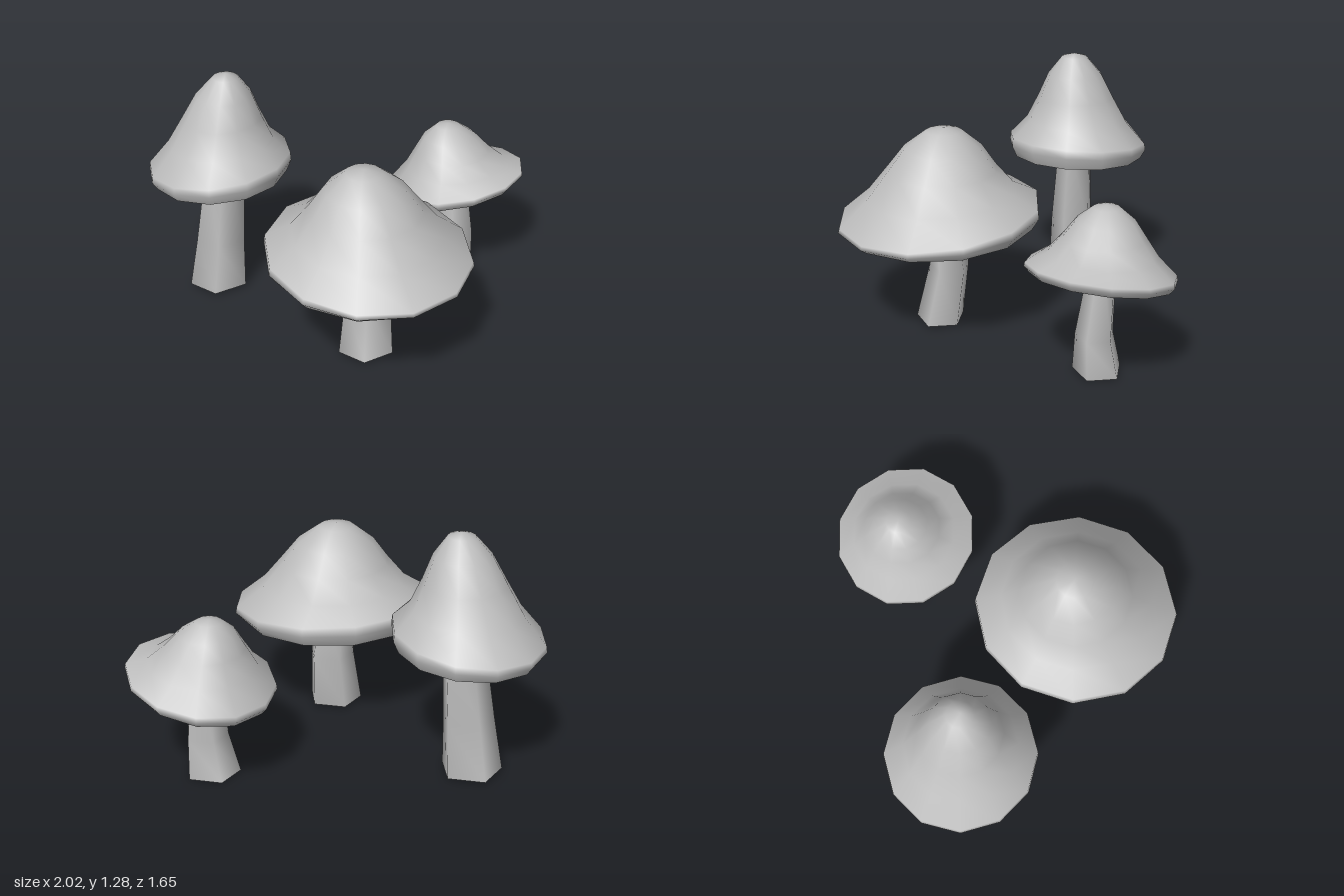
import * as THREE from 'three';
import { mergeVertices } from 'three/addons/utils/BufferGeometryUtils.js';

// Lofts rings listed along the surface (top to bottom, then inwards).
// ring = { c: centre, r: radius, sx, sz: slopes }; radius 0 closes to a point
function loft(rings, sides, phase, depth = 1) {
  const pos = [], index = [];
  for (const { c, r, sx = 0, sz = 0 } of rings) {
    for (let i = 0; i < sides; i++) {
      const a = phase + (i / sides) * Math.PI * 2;
      const dx = Math.cos(a) * r, dz = Math.sin(a) * r * depth;
      pos.push(c.x + dx, c.y + sx * dx + sz * dz, c.z + dz);
    }
  }
  for (let k = 0; k < rings.length - 1; k++) {
    for (let i = 0; i < sides; i++) {
      const j = (i + 1) % sides, t = k * sides, b = t + sides;
      if (rings[k].r > 0) index.push(t + i, t + j, b + i);
      if (rings[k + 1].r > 0) index.push(t + j, b + j, b + i);
    }
  }
  let geo = new THREE.BufferGeometry();
  geo.setAttribute('position', new THREE.Float32BufferAttribute(pos, 3));
  geo.setIndex(index);
  geo = mergeVertices(geo);
  geo.computeVertexNormals();
  return geo;
}

const V = (x, y, z) => new THREE.Vector3(x, y, z);

// Shared bell outline: fraction of the drop from apex to rim, fraction of the rim radius
const bell = [[0, 0], [0.04, 0.18], [0.24, 0.39], [0.5, 0.55], [0.78, 0.74], [1, 1]];
// Shared underside outline: fraction of the rim radius, fraction of the hollow's height
const hollowOutline = [[0.85, 0.1], [0.68, 0.36], [0.43, 0.8], [0, 1]];

function capRings({ apex, rim, radius, slope, lip, lipTilt }) {
  const [sx, sz] = slope;
  const rings = bell.map(([t, f]) => ({
    c: apex.clone().lerp(rim, t), r: radius * f, sx: sx * t ** 3, sz: sz * t ** 3,
  }));
  // Rolled lip: a slight bulge, then a turn inwards
  for (const [down, f] of [[0.43, 1.01], [1, 0.94]]) {
    const tilt = 1 + (lipTilt - 1) * down;
    rings.push({ c: V(rim.x, rim.y - lip * down, rim.z), r: radius * f, sx: sx * tilt, sz: sz * tilt });
  }
  return rings;
}

function undersideRings({ radius, hollow }, edge) {
  const inner = hollowOutline.map(([f, h]) => ({
    c: V(edge.c.x, edge.c.y + hollow * h, edge.c.z), r: radius * f, sx: edge.sx * f, sz: edge.sz * f,
  }));
  return [edge, ...inner];
}

const tall = {
  name: 'tallMushroom', phase: Math.PI / 12,
  apex: V(-0.6, 1.28, -0.44), rim: V(-0.65, 0.785, -0.47), radius: 0.375,
  slope: [0.1, 0.06], lip: 0.09, lipTilt: 0.55, hollow: 0.025,
  stem: [
    { c: V(-0.615, 0.8, -0.46), r: 0.105 },
    { c: V(-0.665, 0.3, -0.455), r: 0.135 },
    { c: V(-0.69, 0.012, -0.47), r: 0.16 },
  ],
};
const wide = {
  name: 'wideMushroom', phase: Math.PI / 10,
  apex: V(-0.03, 1.053, 0.275), rim: V(-0.01, 0.62, 0.305), radius: 0.52,
  slope: [-0.05, -0.1], lip: 0.08, lipTilt: 0.4, hollow: 0.025,
  stem: [
    { c: V(-0.02, 0.6, 0.275), r: 0.102 },
    { c: V(0, 0.31, 0.255), r: 0.122 },
    { c: V(-0.02, 0.01, 0.305), r: 0.146 },
  ],
};
const small = {
  name: 'smallMushroom', phase: 0,
  apex: V(0.59, 0.855, -0.475), rim: V(0.64, 0.55, -0.45), radius: 0.365,
  slope: [0.16, 0.12], lip: 0.055, lipTilt: 1.1, hollow: 0.195,
  stem: [
    { c: V(0.62, 0.68, -0.475), r: 0.07 },
    { c: V(0.63, 0.2, -0.43), r: 0.112 },
    { c: V(0.605, 0, -0.45), r: 0.143 },
  ],
};

export function createModel() {
  const model = new THREE.Group();
  model.name = 'mushroomCluster';
  const grey = new THREE.MeshStandardMaterial({ color: 0xbfbfbf });
  grey.name = 'plain grey';

  for (const m of [tall, wide, small]) {
    const group = new THREE.Group();
    group.name = m.name;
    const add = (name, geo) => {
      const mesh = new THREE.Mesh(geo, grey);
      mesh.name = name;
      group.add(mesh);
    };

    // Domed cap with a rolled lip, and a crisp-edged underside
    const cap = capRings(m);
    add('cap', loft(cap, 12, m.phase));
    add('capUnderside', loft(undersideRings(m, cap.at(-1)), 12, m.phase));

    // Bent five-sided stem with a flat foot
    const foot = m.stem.at(-1), stemPhase = Math.PI / 5 - 0.07;
    add('stem', loft(m.stem, 5, stemPhase, 0.88));
    add('stemFoot', loft([foot, { c: foot.c, r: 0 }], 5, stemPhase, 0.88));
    model.add(group);
  }
  return model;
}
